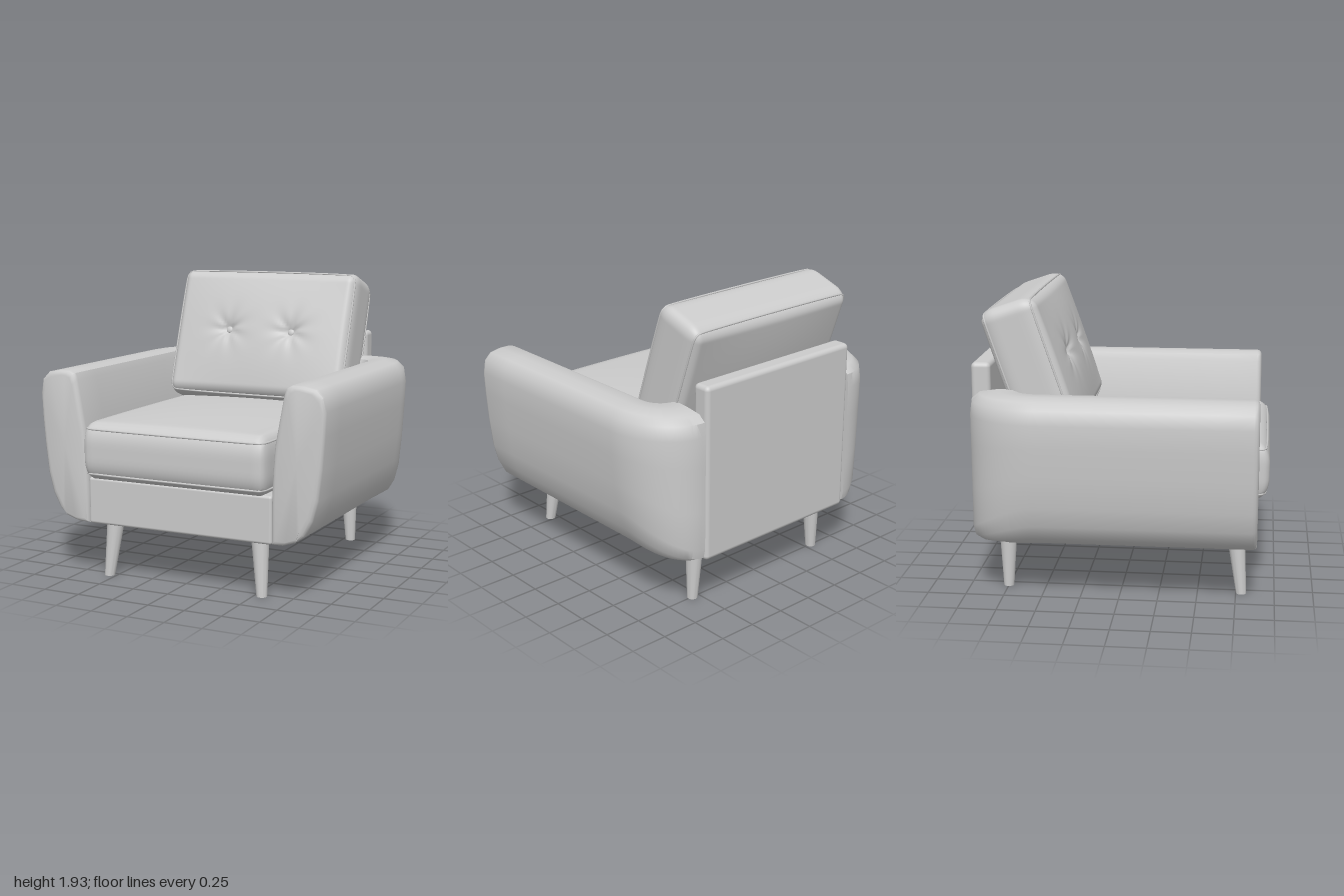
import * as THREE from 'three';
import { mergeVertices, toCreasedNormals } from 'three/addons/utils/BufferGeometryUtils.js';
import { RoundedBoxGeometry } from 'three/addons/geometries/RoundedBoxGeometry.js';

const fabric = new THREE.MeshStandardMaterial({ color: 0xcccccc });

function addMesh(parent, name, geometry, x = 0, y = 0, z = 0) {
  const mesh = new THREE.Mesh(geometry, fabric);
  mesh.name = name;
  mesh.position.set(x, y, z);
  parent.add(mesh);
  return mesh;
}

// Box given by its limits, with softened edges
function panel(parent, name, [x0, x1], [y0, y1], [z0, z1], radius) {
  const geo = new RoundedBoxGeometry(x1 - x0, y1 - y0, z1 - z0, 4, radius);
  return addMesh(parent, name, geo, (x0 + x1) / 2, (y0 + y1) / 2, (z0 + z1) / 2);
}

// Padded box, thin along y: half sizes h, edge radii r, crowned faces, button dimples
function cushionGeometry(h, r, n, crownTop, crownBottom, buttons = []) {
  const geo = new THREE.BoxGeometry(2, 2, 2, n, 16, n);
  geo.deleteAttribute('uv');
  geo.deleteAttribute('normal');
  const pos = geo.attributes.position;
  const p = new THREE.Vector3(), q = new THREE.Vector3(), d = new THREE.Vector3();
  const spread = t => 0.5 * t + 0.5 * Math.sin(t * Math.PI / 2);
  const inner = h.clone().sub(r);
  for (let i = 0; i < pos.count; i++) {
    p.fromBufferAttribute(pos, i);
    p.set(spread(p.x), spread(p.y), spread(p.z)).multiply(h);
    q.copy(p).clamp(inner.clone().negate(), inner);
    d.copy(p).sub(q).divide(r).normalize();
    p.copy(q).add(d.multiply(r));
    const u = p.x / h.x, v = p.z / h.z;
    const swell = (1 - u * u) * (1 - v * v);
    p.y += (p.y > 0 ? crownTop : -crownBottom) * swell * Math.min(1, Math.abs(p.y) / inner.y);
    if (p.y > inner.y) {
      for (const [bx, bz] of buttons) {
        const dx = p.x - bx, dz = p.z - bz, dist = Math.hypot(dx, dz);
        p.y -= 0.06 * Math.exp(-dist / 0.055);
        p.y += 0.006 * Math.cos(7 * Math.atan2(dz, dx)) *
          Math.exp(-((dist / 0.14) ** 2)) * Math.min(1, dist / 0.05);
      }
    }
    pos.setXYZ(i, p.x, p.y, p.z);
  }
  const merged = mergeVertices(geo, 1e-4);
  merged.computeVertexNormals();
  return merged;
}

// Piping that follows the rounded edge of a cushion
function pipingGeometry(h, r, side) {
  const k = Math.SQRT1_2, pts = [];
  const corners = [[1, 1], [-1, 1], [-1, -1], [1, -1]];
  corners.forEach(([sx, sz], c) => {
    for (let i = 0; i <= 4; i++) {
      const a = (c + i / 4) * Math.PI / 2;
      pts.push(new THREE.Vector3(
        sx * (h.x - r.x) + Math.cos(a) * r.x * k,
        side * (h.y - r.y + r.y * k),
        sz * (h.z - r.z) + Math.sin(a) * r.z * k));
    }
  });
  const path = new THREE.CatmullRomCurve3(pts, true, 'centripetal');
  return new THREE.TubeGeometry(path, 160, 0.007, 6, true);
}

function cushion(parent, name, h, r, n, crownTop, crownBottom, buttons) {
  const group = new THREE.Group();
  group.name = name;
  addMesh(group, name + 'Body', cushionGeometry(h, r, n, crownTop, crownBottom, buttons));
  for (const side of [1, -1]) addMesh(group, name + 'Piping', pipingGeometry(h, r, side));
  parent.add(group);
  return group;
}

// Arm cross-sections (x, y): curved at the front, squarer where it wraps the back
const ARM_FRONT = [[.65, .36], [.72, .36], [.8, .385], [.87, .435], [.92, .53], [.955, .66],
  [.978, .85], [.993, 1.05], [1, 1.2], [.985, 1.29], [.94, 1.335], [.86, 1.35], [.78, 1.35],
  [.745, 1.335], [.727, 1.29], [.67, .98], [.657, .8], [.65, .6]];
const ARM_BACK = [[.65, .36], [.75, .36], [.88, .362], [.96, .37], [.99, .39], [1, .45],
  [1, .7], [1, 1], [1, 1.2], [.99, 1.29], [.95, 1.33], [.86, 1.345], [.78, 1.35],
  [.745, 1.335], [.727, 1.29], [.67, .98], [.657, .8], [.65, .6]];

function armGeometry(side) {
  const rings = [];
  const center = [0.82, 0.87];
  const front = (z, inset) => rings.push(ARM_FRONT.map(([x, y]) => [
    x - Math.sign(x - center[0]) * Math.min(inset, Math.abs(x - center[0])),
    y - Math.sign(y - center[1]) * Math.min(inset, Math.abs(y - center[1])), z]));
  // Front face, softened edge, straight run
  front(0.882, 0.03);
  front(0.877, 0.014);
  front(0.866, 0.004);
  front(0.85, 0);
  for (let i = 1; i <= 6; i++) front(0.85 - i * 0.225, 0);
  // Wrap around to the back panel
  const axis = 0.63, steps = 20;
  for (let i = 1; i <= steps; i++) {
    const t = i / steps, a = t * Math.PI / 2, w = t * t * (3 - 2 * t);
    rings.push(ARM_FRONT.map(([fx, fy], j) => {
      const r = THREE.MathUtils.lerp(fx, ARM_BACK[j][0], w) - axis;
      const y = THREE.MathUtils.lerp(fy, ARM_BACK[j][1], w);
      return [axis + r * Math.cos(a), y, -0.5 - r * Math.sin(a) * 1.23];
    }));
  }
  const m = ARM_FRONT.length, verts = [], index = [];
  const tri = (a, b, c) => side > 0 ? index.push(a, b, c) : index.push(a, c, b);
  rings.forEach(ring => ring.forEach(([x, y, z]) => verts.push(side * x, y, z)));
  for (let i = 0; i < rings.length - 1; i++) {
    for (let j = 0; j < m; j++) {
      const a = i * m + j, b = i * m + (j + 1) % m;
      tri(a, a + m, b);
      tri(b, a + m, b + m);
    }
  }
  // End caps
  const last = (rings.length - 1) * m, c0 = verts.length / 3;
  verts.push(side * center[0], center[1], 0.884, side * axis, 0.87, -0.75);
  for (let j = 0; j < m; j++) {
    const k = (j + 1) % m;
    tri(c0, j, k);
    tri(c0 + 1, last + k, last + j);
  }
  const geo = new THREE.BufferGeometry();
  geo.setAttribute('position', new THREE.Float32BufferAttribute(verts, 3));
  geo.setIndex(index);
  return toCreasedNormals(geo, 0.75);
}

// Tapered leg between two points
function leg(parent, name, top, bottom) {
  const geo = new THREE.CylinderGeometry(0.058, 0.034, 1, 24);
  const pos = geo.attributes.position;
  for (let i = 0; i < pos.count; i++) {
    const t = pos.getY(i) + 0.5;
    pos.setXYZ(i,
      pos.getX(i) + THREE.MathUtils.lerp(bottom[0], top[0], t),
      THREE.MathUtils.lerp(bottom[1], top[1], t),
      pos.getZ(i) + THREE.MathUtils.lerp(bottom[2], top[2], t));
  }
  geo.computeVertexNormals();
  addMesh(parent, name, toCreasedNormals(geo, 0.7));
}

export function createModel() {
  const chair = new THREE.Group();
  chair.name = 'armchair';

  // Arms and legs, mirrored
  for (const side of [1, -1]) {
    const label = side > 0 ? 'left' : 'right';
    addMesh(chair, label + 'Arm', armGeometry(side));
    leg(chair, label + 'FrontLeg', [side * 0.52, 0.37, 0.745], [side * 0.55, 0, 0.785]);
    leg(chair, label + 'BackLeg', [side * 0.535, 0.37, -0.75], [side * 0.55, 0, -0.75]);
  }

  // Frame, open underneath up to the seat deck
  panel(chair, 'frontRail', [-0.65, 0.65], [0.357, 0.662], [0.66, 0.868], 0.018);
  panel(chair, 'backRail', [-0.62, 0.62], [0.36, 0.66], [-0.9, -0.68], 0.01);
  panel(chair, 'backPanel', [-0.622, 0.622], [0.36, 1.51], [-0.955, -0.83], 0.03);
  panel(chair, 'seatDeck', [-0.66, 0.66], [0.64, 0.68], [-0.85, 0.7], 0.005);

  // Seat cushion
  const seat = cushion(chair, 'seatCushion', new THREE.Vector3(0.645, 0.187, 0.825),
    new THREE.Vector3(0.05, 0.14, 0.09), 28, 0.035, 0);
  seat.position.set(-0.01, 0.845, 0.125);

  // Reclined back cushion with two buttons
  const buttons = [[-0.237, -0.01], [0.237, -0.01]];
  const back = cushion(chair, 'backCushion', new THREE.Vector3(0.665, 0.185, 0.46),
    new THREE.Vector3(0.06, 0.1, 0.08), 80, 0.045, 0.03, buttons);
  back.position.set(-0.015, 1.455, -0.57);
  back.rotation.x = 1.24;
  for (const [x, z] of buttons) {
    const button = addMesh(back, 'button', new THREE.SphereGeometry(0.025, 20, 12), x, 0.18, z);
    button.scale.y = 0.5;
  }
  return chair;
}
